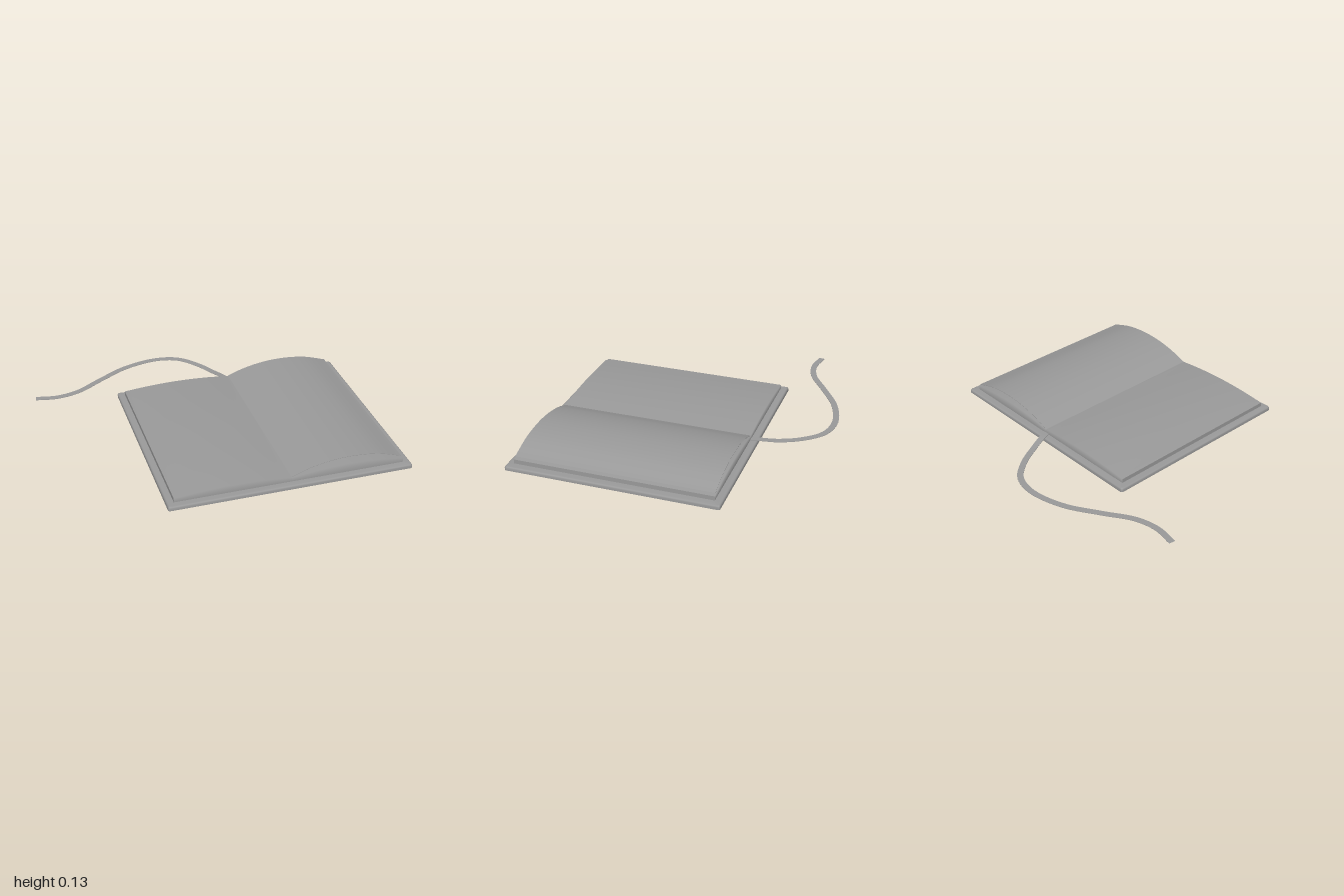
import * as THREE from 'three';
import { mergeGeometries } from 'three/addons/utils/BufferGeometryUtils.js';

const material = new THREE.MeshStandardMaterial({ color: 0x9a9a9a, side: THREE.DoubleSide });
const v3 = (x, y, z) => new THREE.Vector3(x, y, z);

// Smooth skin over a list of equally long rows of points
function loft(rows) {
  const n = rows[0].length, index = [];
  for (let i = 0; i < rows.length - 1; i++) {
    for (let j = 0; j < n - 1; j++) {
      const a = i * n + j, c = a + n;
      index.push(a, a + 1, c, a + 1, c + 1, c);
    }
  }
  const geometry = new THREE.BufferGeometry().setFromPoints(rows.flat());
  geometry.setIndex(index);
  geometry.computeVertexNormals();
  return geometry;
}

// Thin sheet between two edge curves, with sharp edges
function sheet(edgeA, edgeB, thickness) {
  const lower = (row) => row.map((p) => v3(p.x, p.y - thickness, p.z));
  const corners = [edgeA, edgeB, lower(edgeB), lower(edgeA)];
  return mergeGeometries(corners.map((row, i) => loft([row, corners[(i + 1) % 4]])));
}

// Closed rounded-rectangle outline of the cover, moved inward and set at a height
function coverRing([inset, y]) {
  const minX = -0.48, maxX = 1, minZ = -0.448, maxZ = 0.846, r = 0.012;
  const points = [];
  [[maxX - r, maxZ - r], [minX + r, maxZ - r], [minX + r, minZ + r], [maxX - r, minZ + r]].forEach(([x, z], k) => {
    const sx = k === 0 || k === 3 ? 1 : -1, sz = k < 2 ? 1 : -1;
    for (let i = 0; i <= 4; i++) {
      const a = (k + i / 4) * Math.PI / 2;
      points.push(v3(x + r * Math.cos(a) - sx * inset, y, z + r * Math.sin(a) - sz * inset));
    }
  });
  return [...points, points[0].clone()];
}

export function createModel() {
  const book = new THREE.Group();
  book.name = 'openBook';
  const add = (name, geometry) => {
    const mesh = new THREE.Mesh(geometry, material);
    mesh.name = name;
    book.add(mesh);
  };

  // Cover: softly rounded upper rim, square lower edge, shallow recess underneath
  const coverBands = [
    [[0, 0], [0, 0.015], [0.003, 0.022], [0.01, 0.026], [0.08, 0.026]],
    [[0, 0], [0.022, 0]],
    [[0.022, 0], [0.022, 0.007]],
  ];
  add('cover', mergeGeometries(coverBands.map((band) => loft(band.map(coverRing)))));
  const floor = new THREE.PlaneGeometry(1.436, 1.25);
  add('coverUnderside', floor.rotateX(Math.PI / 2).translate(0.26, 0.007, 0.199));

  // Page blocks: arched tops meeting at the gutter, flat wall at the outer edge
  const gutter = 0.26, back = -0.405, front = 0.805, base = 0.024;
  const pageBlock = (name, edge, crown) => {
    const arch = new THREE.CatmullRomCurve3([v3(gutter, 0.052, 0), ...crown, v3(edge, 0.052, 0)]);
    const rows = arch.getPoints(28).map(({ x, y }) => [
      v3(x, base, front), v3(x, y, front), v3(x, y, back), v3(x, base, back),
    ]);
    const [a, b, c, d] = rows.at(-1);
    add(name, mergeGeometries([loft(rows), loft([[a, b], [d, c]])]));
  };
  pageBlock('rightPages', -0.438, [v3(0.1, 0.066, 0), v3(-0.09, 0.072, 0), v3(-0.27, 0.066, 0)]);
  pageBlock('leftPages', 0.953, [v3(0.42, 0.071, 0), v3(0.6, 0.08, 0), v3(0.78, 0.073, 0)]);

  // Single lifted leaf curving over the left pages
  const leaf = new THREE.CatmullRomCurve3([
    v3(gutter, 0.054, 0), v3(0.36, 0.091, 0), v3(0.49, 0.119, 0),
    v3(0.63, 0.128, 0), v3(0.79, 0.113, 0), v3(0.94, 0.069, 0),
  ]).getPoints(32);
  const leafEdge = (z) => leaf.map((p) => v3(p.x, p.y, z));
  add('liftedPage', sheet(leafEdge(back), leafEdge(0.8), 0.002));

  // Bookmark: flat ribbon sweeping from the gutter down to the table
  const path = new THREE.CatmullRomCurve3([
    v3(0.26, 0.03, -0.39), v3(0.24, 0.028, -0.45), v3(0.2, 0.015, -0.55), v3(0.13, 0.01, -0.68),
    v3(0.02, 0.01, -0.795), v3(-0.13, 0.01, -0.83), v3(-0.35, 0.01, -0.78), v3(-0.55, 0.01, -0.665),
    v3(-0.72, 0.01, -0.56), v3(-0.86, 0.01, -0.53), v3(-0.995, 0.01, -0.551),
  ]);
  const sides = [[], []];
  for (let i = 0; i <= 64; i++) {
    const p = path.getPoint(i / 64), d = path.getTangent(i / 64);
    const across = v3(d.z, 0, -d.x).normalize().multiplyScalar(0.019);
    sides[0].push(p.clone().sub(across));
    sides[1].push(p.clone().add(across));
  }
  add('bookmarkRibbon', sheet(sides[0], sides[1], 0.003));

  return book;
}
